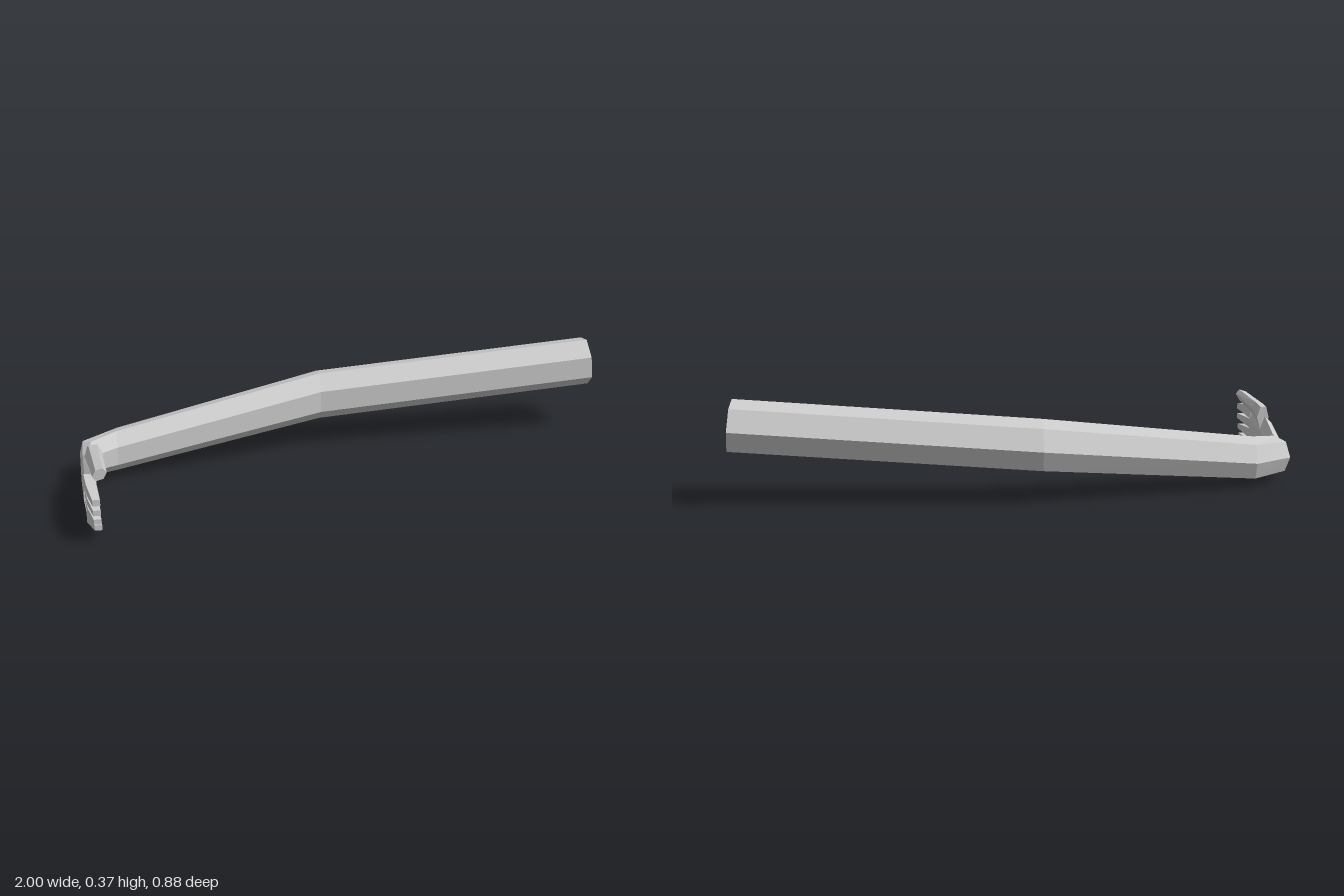
import * as THREE from 'three';

const V = (x, y, z) => new THREE.Vector3(x, y, z);
const material = new THREE.MeshStandardMaterial({ color: 0xcccccc, flatShading: true });

// Cross-section around c; the lengths of u and v are its radii
function ring(c, u, v, sides, phase = 0) {
  return Array.from({ length: sides }, (_, i) => {
    const a = phase + (i / sides) * Math.PI * 2;
    return c.clone().addScaledVector(u, Math.cos(a)).addScaledVector(v, Math.sin(a));
  });
}

// Rectangular cross-section facing z
function rect(x, z, y0, y1, halfX) {
  const k = Math.SQRT2;
  return ring(V(x, (y0 + y1) / 2, z), V(-halfX * k, 0, 0), V(0, ((y1 - y0) / 2) * k, 0), 4, Math.PI / 4);
}

// Skin between successive cross-sections, capped at both ends
function loft(name, rings) {
  const pos = [];
  const tri = (...pts) => pts.forEach(p => pos.push(p.x, p.y, p.z));
  const n = rings[0].length;
  for (let i = 0; i < rings.length - 1; i++) {
    for (let j = 0; j < n; j++) {
      const k = (j + 1) % n;
      const a = rings[i][j], b = rings[i][k], c = rings[i + 1][k], d = rings[i + 1][j];
      tri(a, d, c);
      tri(a, c, b);
    }
  }
  const first = rings[0], last = rings[rings.length - 1];
  for (let j = 1; j < n - 1; j++) {
    tri(first[0], first[j], first[j + 1]);
    tri(last[0], last[j + 1], last[j]);
  }
  const g = new THREE.BufferGeometry();
  g.setAttribute('position', new THREE.Float32BufferAttribute(pos, 3));
  g.computeVertexNormals();
  const mesh = new THREE.Mesh(g, material);
  mesh.name = name;
  return mesh;
}

export function createModel() {
  const group = new THREE.Group();
  group.name = 'arm';

  // Seven-sided sleeve from the shoulder over elbow and wrist into the palm
  const sections = [
    [V(0.992, 0.28, -0.345), V(0, 0, -0.095), V(-0.008, 0.095, 0)],
    [V(-0.08, 0.199, -0.345), V(0, 0, -0.095), V(0, 0.095, 0)],
    [V(-0.86, 0.1, -0.16), V(0, 0, -0.081), V(0, 0.08, 0)],
    [V(-0.963, 0.098, -0.095), V(-0.037, 0, -0.05), V(0, 0.07, 0)],
    [V(-0.968, 0.09, -0.02), V(-0.027, 0, 0), V(0, 0.067, 0)],
    [V(-0.963, 0.098, 0.1), V(-0.027, 0, 0), V(0, 0.1, 0)],
    [V(-0.955, 0.105, 0.275), V(-0.024, 0, 0), V(0, 0.1, 0)],
  ];
  group.add(loft('armAndPalm', sections.map(([c, u, v]) => ring(c, u, v, 7))));

  // Fingers: [z, bottom y, top y] at knuckle, joint and tip
  const fingers = {
    indexFinger: [[0.27, 0.151, 0.2], [0.345, 0.155, 0.193], [0.44, 0.157, 0.18]],
    middleFinger: [[0.27, 0.114, 0.15], [0.345, 0.116, 0.145], [0.437, 0.119, 0.139]],
    ringFinger: [[0.27, 0.072, 0.112], [0.345, 0.076, 0.106], [0.424, 0.081, 0.099]],
    littleFinger: [[0.265, 0.012, 0.07], [0.33, 0.036, 0.068], [0.4, 0.046, 0.066]],
  };
  const bend = [[-0.955, 0.019], [-0.947, 0.018], [-0.931, 0.013]];
  for (const [name, joints] of Object.entries(fingers)) {
    group.add(loft(name, joints.map(([z, y0, y1], i) => rect(bend[i][0], z, y0, y1, bend[i][1]))));
  }

  // Thumb: root rises out of the palm edge, then runs forward
  const u = V(-0.03, -0.008, 0);
  group.add(loft('thumb', [
    ring(V(-0.95, 0.193, 0.108), V(-0.022, 0, 0), V(0, 0.047, 0), 6),
    ring(V(-0.94, 0.216, 0.14), u, V(0, 0.032, -0.012), 6),
    ring(V(-0.917, 0.23, 0.348), V(-0.025, -0.007, 0), V(0, 0.023, 0), 6),
  ]));
  return group;
}
